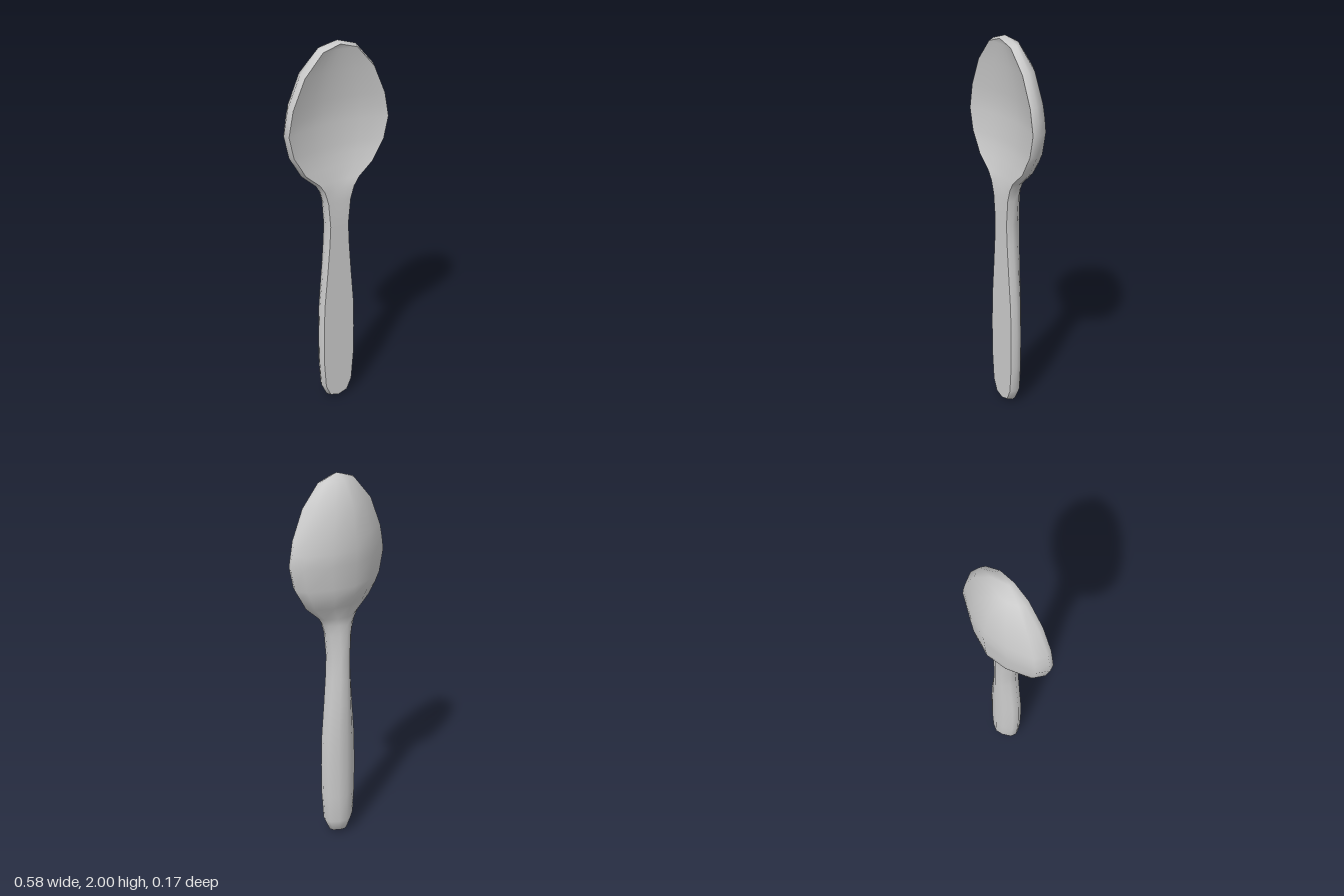
import * as THREE from 'three';
import { mergeVertices } from 'three/addons/utils/BufferGeometryUtils.js';

// Spoon stations from tip to handle end: [y, half width, z of back, depth of hollow]
const stations = [
  [2.00, 0, 0.057, 0], [1.97, 0.10, 0.0, 0.01], [1.86, 0.20, -0.06, 0.03],
  [1.715, 0.265, -0.08, 0.049], [1.65, 0.278, -0.088, 0.053], [1.585, 0.29, -0.085, 0.055],
  [1.47, 0.265, -0.077, 0.048], [1.42, 0.235, -0.072, 0.042], [1.36, 0.20, -0.042, 0.032],
  [1.29, 0.12, -0.021, 0.016], [1.25, 0.095, -0.02, 0.008], [1.19, 0.077, -0.02, 0],
  [1.06, 0.065, -0.02, 0], [0.95, 0.07, -0.02, 0], [0.80, 0.082, -0.02, 0],
  [0.60, 0.10, -0.02, 0], [0.43, 0.105, -0.02, 0], [0.25, 0.104, -0.02, 0],
  [0.09, 0.092, -0.018, 0], [0.02, 0.06, 0.005, 0], [0, 0, 0.057, 0],
];
const RIM_Z = 0.086, SIDE_Z = 0.057, INSET = 0.013;

// Front rim point: the outline moved inwards along its normal
function rimPoint(i) {
  const [y, w] = stations[i];
  const last = stations.length - 1;
  if (i === 0) return [0, y - INSET];
  if (i === last) return [0, y + INSET];
  const a = stations[i - 1], b = stations[i + 1];
  const dy = a[0] - b[0], dw = b[1] - a[1], len = Math.hypot(dy, dw);
  return [w - INSET * dy / len, y - INSET * dw / len];
}

// Mirror a half section (outer edge to centre) across x = 0
function mirrorSection(half) {
  const other = half.slice(0, -1).reverse().map(([x, y, z]) => [-x, y, z]);
  return [...half, ...other];
}

// Skin a list of equal-length rows, running downwards, with smooth normals
function loft(rows) {
  const n = rows[0].length, index = [];
  for (let i = 0; i < rows.length - 1; i++) {
    for (let j = 0; j < n - 1; j++) {
      const a = i * n + j, b = a + n;
      index.push(a, b, a + 1, a + 1, b, b + 1);
    }
  }
  let geo = new THREE.BufferGeometry();
  geo.setAttribute('position', new THREE.Float32BufferAttribute(rows.flat(2), 3));
  geo.setIndex(index);
  geo = mergeVertices(geo, 1e-5);
  geo.computeVertexNormals();
  return geo;
}

export function createModel() {
  const spoon = new THREE.Group();
  spoon.name = 'spoon';
  const material = new THREE.MeshStandardMaterial({ color: 0xcccccc });

  // Rounded back and sides: [share of width, share of depth]
  const backCurve = [[1, 1], [0.886, 0.594], [0.45, 0.18], [0, 0]];
  const backRows = stations.map(([y, w, zb], i) => {
    const [rx, ry] = rimPoint(i);
    const curve = backCurve.map(([u, k]) => [u * w, y, zb + (SIDE_Z - zb) * k]);
    return mirrorSection([[rx, ry, RIM_Z], ...curve]);
  });
  const back = new THREE.Mesh(loft(backRows), material);
  back.name = 'backAndSides';
  spoon.add(back);

  // Flat handle front running into the shallow hollow of the bowl
  const hollowCurve = [[1, 0], [0.8, 0.36], [0.5, 0.75], [0.25, 0.94], [0, 1]];
  const frontRows = stations.map(([, , , depth], i) => {
    const [rx, ry] = rimPoint(i);
    const half = hollowCurve.map(([u, k]) => [u * rx, ry, RIM_Z - depth * k]);
    return mirrorSection(half).reverse();
  });
  const front = new THREE.Mesh(loft(frontRows), material);
  front.name = 'bowlHollowAndHandleFront';
  spoon.add(front);

  return spoon;
}
